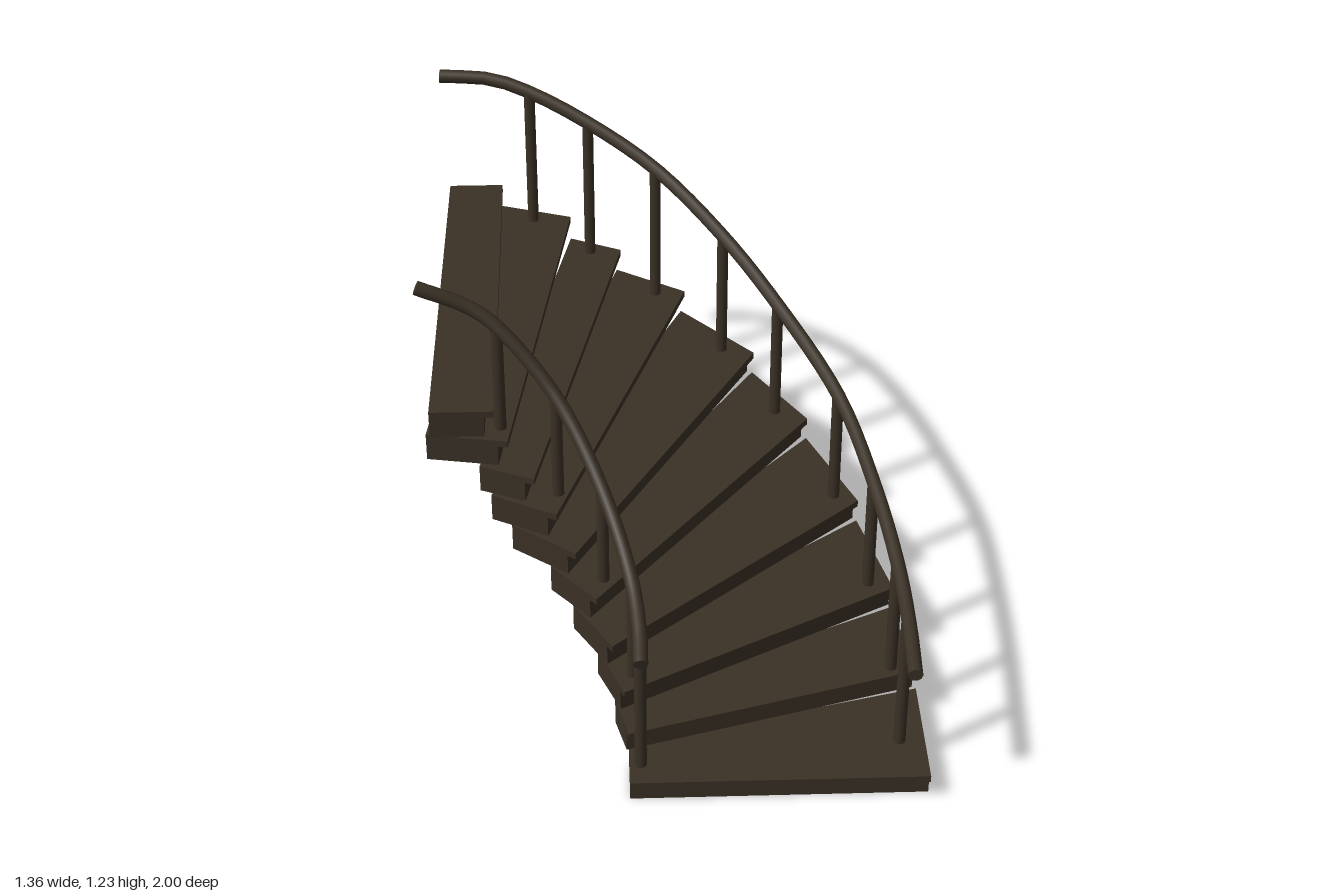
import * as THREE from 'three';

const RISE = 0.0815, LIP = 0.02, SETBACK = 0.028;

// One row per step, plan positions [x, z]: nosing inner, nosing outer, back outer, back inner
const STEPS = [
  [[-0.13, 0.955], [0.675, 0.955], [0.675, 0.60], [-0.13, 0.80]],
  [[-0.13, 0.85], [0.668, 0.62], [0.63, 0.34], [-0.165, 0.71]],
  [[-0.14, 0.775], [0.63, 0.355], [0.556, 0.037], [-0.21, 0.60]],
  [[-0.17, 0.68], [0.556, 0.05], [0.43, -0.27], [-0.275, 0.50]],
  [[-0.21, 0.577], [0.43, -0.255], [0.28, -0.51], [-0.335, 0.43]],
  [[-0.265, 0.48], [0.283, -0.495], [0.07, -0.74], [-0.44, 0.345]],
  [[-0.315, 0.41], [0.08, -0.725], [-0.127, -0.86], [-0.495, 0.315]],
  [[-0.375, 0.355], [-0.115, -0.845], [-0.27, -0.92], [-0.525, 0.29]],
  [[-0.445, 0.29], [-0.27, -0.915], [-0.51, -1.0], [-0.67, 0.25]],
  [[-0.48, 0.262], [-0.48, -0.98], [-0.643, -0.98], [-0.658, 0.262]],
];

// Baluster plan positions with the index of the step they stand on
const OUTER_POSTS = [[0.605, 0.81, 0], [0.6, 0.6, 1], [0.56, 0.33, 2], [0.487, 0.02, 3], [0.335, -0.3, 4],
  [0.185, -0.52, 5], [-0.01, -0.72, 6], [-0.21, -0.84, 7], [-0.385, -0.905, 8]];
const INNER_POSTS = [[-0.1, 0.88, 0], [-0.115, 0.7, 2], [-0.19, 0.49, 4], [-0.31, 0.31, 6], [-0.465, 0.22, 8]];

const OUTER_RAIL = [[0.605, 0.478, 1.0], [0.61, 0.49, 0.81], [0.602, 0.522, 0.6], [0.565, 0.585, 0.33],
  [0.49, 0.675, 0.02], [0.335, 0.785, -0.3], [0.185, 0.89, -0.52], [-0.01, 1.01, -0.72],
  [-0.21, 1.105, -0.84], [-0.385, 1.175, -0.91], [-0.5, 1.205, -0.94], [-0.655, 1.213, -0.95]];
const INNER_RAIL = [[-0.1, 0.487, 0.945], [-0.1, 0.515, 0.85], [-0.118, 0.575, 0.7], [-0.19, 0.715, 0.49],
  [-0.31, 0.895, 0.31], [-0.465, 1.065, 0.22], [-0.54, 1.115, 0.2], [-0.675, 1.175, 0.197]];

// Horizontal slab over a plan outline
function slab(points, y, height) {
  const shape = new THREE.Shape(points.map(([x, z]) => new THREE.Vector2(x, -z)));
  const g = new THREE.ExtrudeGeometry(shape, { depth: height, bevelEnabled: false });
  return g.rotateX(-Math.PI / 2).translate(0, y, 0);
}

// Point moved a fixed distance from a towards b
function toward(a, b, d) {
  const l = Math.hypot(b[0] - a[0], b[1] - a[1]);
  return [a[0] + (b[0] - a[0]) * d / l, a[1] + (b[1] - a[1]) * d / l];
}

export function createModel() {
  const wood = new THREE.MeshStandardMaterial({ color: 0x3a3126 });
  const model = new THREE.Group();
  model.name = 'curvedStaircase';
  const add = (parent, geometry, name) => {
    const mesh = new THREE.Mesh(geometry, wood);
    mesh.name = name;
    parent.add(mesh);
    return mesh;
  };

  // Winding steps: riser block with an overhanging tread
  STEPS.forEach(([noseIn, noseOut, backOut, backIn], i) => {
    const step = new THREE.Group();
    step.name = `step${i + 1}`;
    const frontIn = toward(noseIn, backIn, SETBACK);
    const frontOut = toward(noseOut, backOut, SETBACK);
    add(step, slab([frontIn, frontOut, backOut, backIn], i * RISE, RISE - LIP), 'riserBlock');
    add(step, slab([noseIn, noseOut, backOut, backIn], (i + 1) * RISE - LIP, LIP), 'tread');
    model.add(step);
  });

  // Handrail with end caps and its balusters
  const railing = (name, railPoints, posts) => {
    const group = new THREE.Group();
    group.name = name;
    const curve = new THREE.CatmullRomCurve3(railPoints.map(p => new THREE.Vector3(...p)), false, 'centripetal');
    add(group, new THREE.TubeGeometry(curve, 40, 0.02, 10), 'handrail');
    for (const end of [0, 1]) {
      const cap = add(group, new THREE.CircleGeometry(0.02, 10), 'handrailEnd');
      const out = curve.getTangent(end).multiplyScalar(end ? 1 : -1);
      cap.position.copy(curve.getPoint(end));
      cap.quaternion.setFromUnitVectors(new THREE.Vector3(0, 0, 1), out);
    }
    const samples = curve.getPoints(300);
    for (const [x, z, stepIndex] of posts) {
      const dist = p => Math.hypot(p.x - x, p.z - z);
      const top = samples.reduce((a, b) => (dist(b) < dist(a) ? b : a)).y;
      const base = (stepIndex + 1) * RISE - 0.005;
      const post = add(group, new THREE.CylinderGeometry(0.017, 0.017, top - base, 10), 'baluster');
      post.position.set(x, (top + base) / 2, z);
    }
    model.add(group);
  };
  railing('outerRailing', OUTER_RAIL, OUTER_POSTS);
  railing('innerRailing', INNER_RAIL, INNER_POSTS);

  return model;
}
